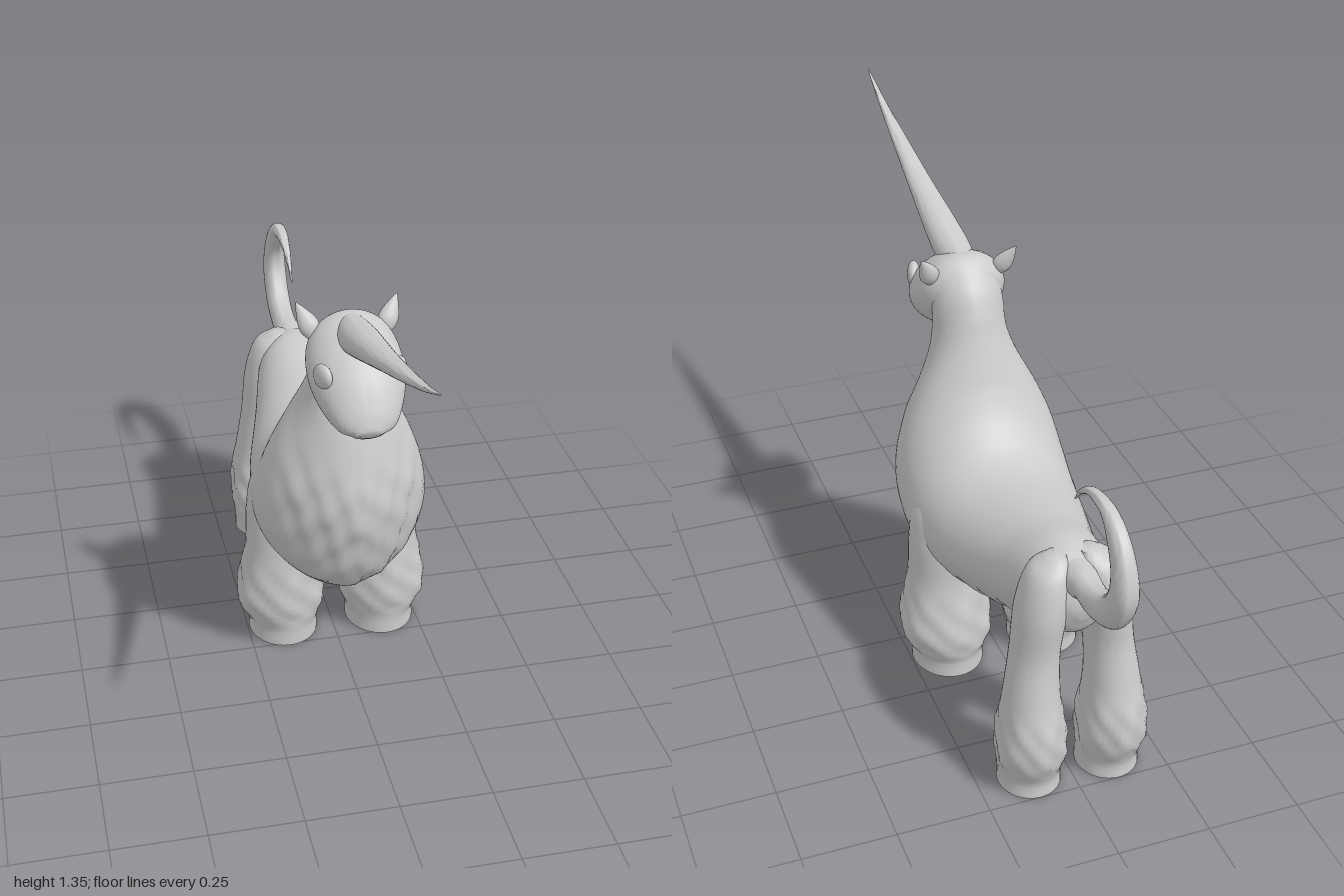
import * as THREE from 'three';
import { toCreasedNormals } from 'three/addons/utils/BufferGeometryUtils.js';

const material = new THREE.MeshStandardMaterial({ color: 0xcccccc });
const smooth = (a, b, v) => THREE.MathUtils.smoothstep(v, a, b);

// Skin over elliptical cross-sections. Each section: [zA, yA, zB, yB, halfWidth, centreX],
// where A and B are opposite ends of the ellipse in the side plane.
function loft(name, sections, { steps = 6, sides = 40, rule = null } = {}) {
  const curve = (f) => new THREE.CatmullRomCurve3(sections.map(f), false, 'catmullrom', 0.5);
  const endA = curve((s) => new THREE.Vector3(0, s[1], s[0]));
  const endB = curve((s) => new THREE.Vector3(0, s[3], s[2]));
  const width = curve((s) => new THREE.Vector3(s[4], s[5] || 0, 0));
  const rows = (sections.length - 1) * steps;
  const pos = [], idx = [];
  const first = new THREE.Vector3(), last = new THREE.Vector3();
  for (let i = 0; i <= rows; i++) {
    const t = i / rows;
    const a = endA.getPoint(t), b = endB.getPoint(t), w = width.getPoint(t);
    const mid = a.clone().add(b).multiplyScalar(0.5);
    const half = a.sub(b).multiplyScalar(0.5);
    mid.x = w.y;
    if (i === 0) first.copy(mid);
    if (i === rows) last.copy(mid);
    for (let j = 0; j < sides; j++) {
      const ang = (j / sides) * Math.PI * 2;
      const p = mid.clone().addScaledVector(half, Math.sin(ang));
      p.x += Math.cos(ang) * Math.max(w.x, 0.001);
      if (rule) rule(p, mid, ang);
      pos.push(p.x, p.y, p.z);
      if (i < rows) {
        const k = (j + 1) % sides, r = i * sides, n = r + sides;
        idx.push(r + j, r + k, n + k, r + j, n + k, n + j);
      }
    }
  }
  // end caps
  const c0 = pos.length / 3, c1 = c0 + 1, r = rows * sides;
  pos.push(first.x, first.y, first.z, last.x, last.y, last.z);
  for (let j = 0; j < sides; j++) {
    const k = (j + 1) % sides;
    idx.push(c0, k, j, c1, r + j, r + k);
  }
  const geo = new THREE.BufferGeometry();
  geo.setAttribute('position', new THREE.Float32BufferAttribute(pos, 3));
  geo.setIndex(idx);
  const mesh = new THREE.Mesh(toCreasedNormals(geo, 1.0), material);
  mesh.name = name;
  return mesh;
}

// shaggy chest and belly: tapered underside with soft tufts
function chestFur(p, mid, ang) {
  const s = Math.max(0, -Math.sin(ang));
  p.x *= 1 - 0.16 * s * s;
  const chest = smooth(0.08, 0.2, p.z) * (1 - smooth(0.6, 0.8, p.y));
  const belly = s * s * (1 - smooth(-0.1, 0.05, p.z)) * smooth(-0.56, -0.48, p.z);
  const ax = Math.abs(p.x);
  const tuft = Math.sin(ax * 75 + p.y * 14) * Math.sin(p.y * 38 - ax * 22);
  const out = p.clone().sub(mid).normalize();
  p.addScaledVector(out, chest * 0.008 * tuft + belly * 0.007 * Math.sin(p.z * 75));
}

// hair around the fetlocks
function legFur(p, mid, ang) {
  const zone = smooth(0.05, 0.11, p.y) * (1 - smooth(0.2, 0.3, p.y));
  const out = p.clone().sub(mid).normalize();
  p.addScaledVector(out, zone * 0.006 * Math.sin(ang * 7 + p.y * 25) * Math.sin(p.y * 45 + ang));
}

// crease of the mouth running back from the snout
function mouth(p, mid) {
  const line = 0.915 - 0.035 * smooth(0.24, 0.34, p.z) + 0.012 * smooth(0.34, 0.38, p.z);
  const d = (p.y - line) / 0.007;
  const depth = 0.09 * Math.exp(-d * d) * smooth(0.23, 0.28, p.z);
  p.lerp(mid, depth);
}

export function createModel() {
  const model = new THREE.Group();

  // trunk and neck in one sweep, from rump to nape
  model.add(loft('bodyAndNeck', [
    [-0.735, 0.61, -0.735, 0.54, 0.03], [-0.70, 0.67, -0.69, 0.47, 0.09],
    [-0.60, 0.70, -0.57, 0.42, 0.122], [-0.45, 0.67, -0.45, 0.36, 0.155],
    [-0.27, 0.65, -0.25, 0.29, 0.205], [-0.17, 0.67, -0.08, 0.25, 0.228],
    [-0.10, 0.73, 0.06, 0.24, 0.238], [-0.055, 0.80, 0.19, 0.33, 0.23],
    [-0.03, 0.86, 0.25, 0.50, 0.192], [0.00, 0.94, 0.255, 0.62, 0.14],
    [0.02, 1.00, 0.22, 0.76, 0.108], [0.05, 1.06, 0.18, 0.87, 0.1],
    [0.10, 1.11, 0.16, 0.93, 0.098],
  ], { steps: 9, sides: 72, rule: chestFur }));

  // head
  model.add(loft('head', [
    [0.08, 1.085, 0.10, 0.99, 0.06], [0.10, 1.11, 0.115, 0.95, 0.092],
    [0.14, 1.13, 0.15, 0.915, 0.117], [0.20, 1.115, 0.20, 0.89, 0.126],
    [0.27, 1.08, 0.25, 0.872, 0.12], [0.33, 1.025, 0.30, 0.862, 0.1],
    [0.37, 0.96, 0.345, 0.868, 0.073], [0.388, 0.915, 0.375, 0.885, 0.035],
  ], { steps: 10, sides: 64, rule: mouth }));

  model.add(loft('horn', [
    [0.13, 1.125, 0.18, 1.03, 0.04], [0.25, 1.148, 0.28, 1.065, 0.05],
    [0.53, 1.207, 0.55, 1.165, 0.033], [0.84, 1.292, 0.845, 1.273, 0.013],
    [1.0, 1.345, 1.0, 1.341, 0.002],
  ]));

  model.add(loft('tail', [
    [-0.68, 0.56, -0.66, 0.685, 0.055], [-0.75, 0.61, -0.72, 0.685, 0.04],
    [-0.83, 0.61, -0.79, 0.685, 0.036], [-0.93, 0.655, -0.86, 0.71, 0.036],
    [-0.988, 0.745, -0.905, 0.77, 0.035], [-0.985, 0.83, -0.91, 0.825, 0.031],
    [-0.94, 0.91, -0.88, 0.875, 0.026], [-0.86, 0.952, -0.84, 0.915, 0.02],
    [-0.76, 0.945, -0.765, 0.92, 0.014], [-0.69, 0.90, -0.70, 0.89, 0.007],
    [-0.652, 0.848, -0.656, 0.847, 0.002],
  ], { sides: 24 }));

  // leg sections: [y, zBack, zFront, halfWidth, centreX]
  const frontLeg = [
    [0, -0.22, 0.01, 0.1, 0.145], [0.045, -0.22, 0.01, 0.1, 0.145],
    [0.08, -0.23, 0.015, 0.115, 0.148], [0.13, -0.235, 0.022, 0.128, 0.15],
    [0.20, -0.225, 0.02, 0.12, 0.148], [0.30, -0.205, 0.01, 0.108, 0.142],
    [0.42, -0.20, 0, 0.1, 0.145], [0.52, -0.19, 0, 0.085, 0.14],
    [0.62, -0.15, -0.04, 0.04, 0.11],
  ];
  const rearLeg = [
    [0, -0.75, -0.57, 0.084, 0.11], [0.045, -0.75, -0.57, 0.084, 0.11],
    [0.12, -0.78, -0.565, 0.09, 0.112], [0.20, -0.78, -0.57, 0.085, 0.112],
    [0.30, -0.755, -0.585, 0.072, 0.11], [0.42, -0.735, -0.585, 0.064, 0.1],
    [0.55, -0.742, -0.575, 0.065, 0.085], [0.65, -0.72, -0.59, 0.055, 0.065],
    [0.69, -0.68, -0.62, 0.025, 0.045],
  ];

  for (const [side, sx] of [['left', 1], ['right', -1]]) {
    for (const [part, rows] of [['FrontLeg', frontLeg], ['RearLeg', rearLeg]]) {
      const sections = rows.map(([y, zb, zf, w, cx]) => [zb, y, zf, y, w, sx * cx]);
      model.add(loft(side + part, sections, { steps: 7, rule: legFur }));
    }

    // eye
    const eye = new THREE.Mesh(new THREE.SphereGeometry(1, 24, 16), material);
    eye.name = side + 'Eye';
    eye.scale.set(0.018, 0.033, 0.04);
    eye.position.set(sx * 0.1, 1.022, 0.278);
    eye.rotation.set(-0.4, -sx * 0.3, 0, 'YXZ');
    model.add(eye);

    // ear: flattened leaf pointing up, out and back
    const profile = [[0.018, 0], [0.027, 0.025], [0.024, 0.05], [0.012, 0.08], [0.001, 0.102]];
    const ear = new THREE.Mesh(
      new THREE.LatheGeometry(new THREE.SplineCurve(
        profile.map(([x, y]) => new THREE.Vector2(x, y))).getPoints(16), 20), material);
    ear.name = side + 'Ear';
    const base = new THREE.Vector3(sx * 0.09, 1.065, 0.14);
    const tip = new THREE.Vector3(sx * 0.135, 1.152, 0.1);
    ear.position.copy(base);
    ear.quaternion.setFromUnitVectors(new THREE.Vector3(0, 1, 0), tip.sub(base).normalize());
    ear.scale.set(1, 1, 0.75);
    model.add(ear);
  }
  return model;
}
